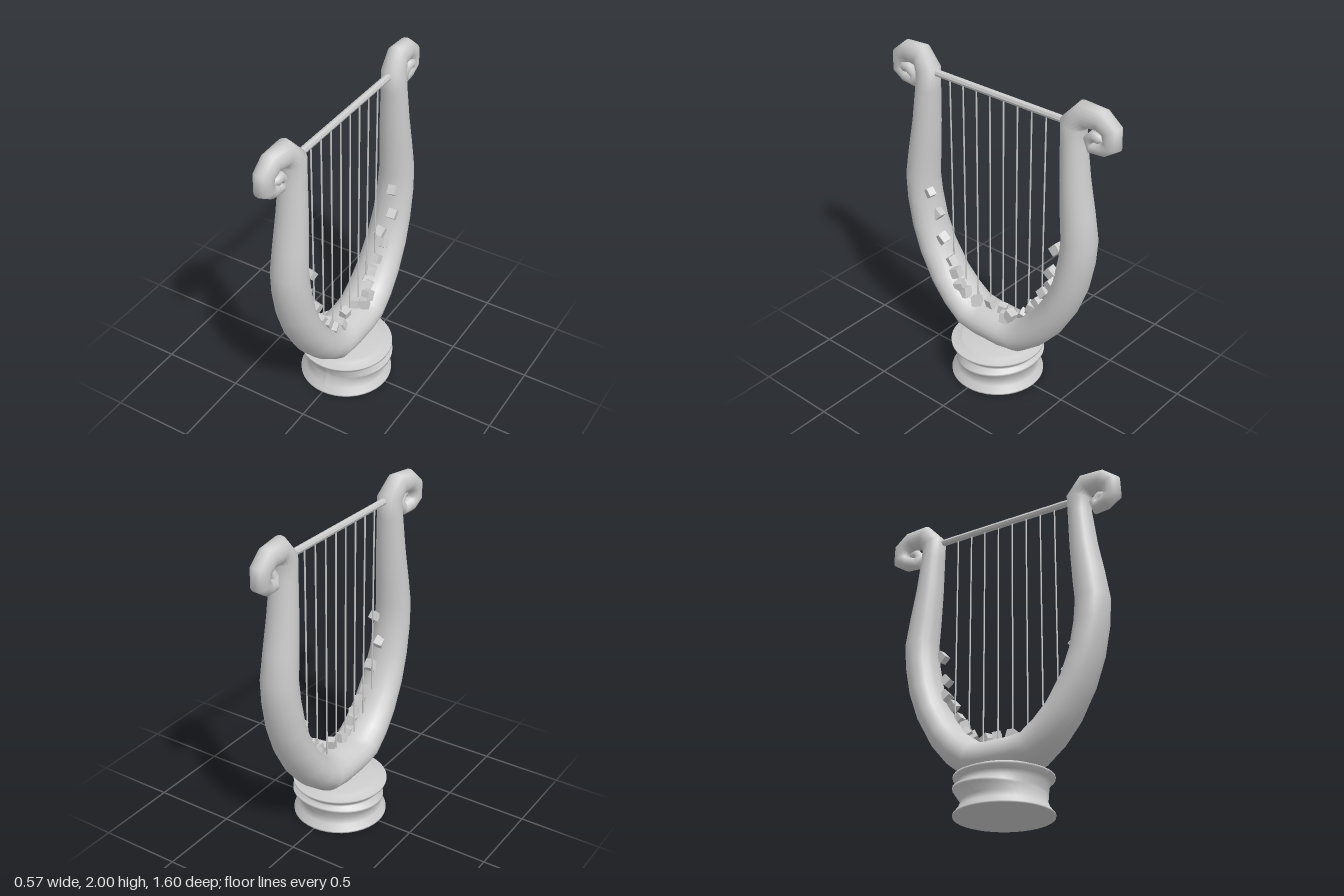
import * as THREE from 'three';

const grey = new THREE.MeshStandardMaterial({ color: 0xcccccc });
const flat = new THREE.MeshStandardMaterial({ color: 0xcccccc, flatShading: true });

function add(group, name, geometry, material = grey) {
  const mesh = new THREE.Mesh(geometry, material);
  mesh.name = name;
  group.add(mesh);
  return mesh;
}

// Sweep an oval section along stations [z, y, in-plane radius, x radius, x offset]
function sweep(stations, sides) {
  const pos = [], index = [];
  stations.forEach(([z, y, r, rx, x], i) => {
    const a = stations[Math.max(i - 1, 0)], b = stations[Math.min(i + 1, stations.length - 1)];
    const t = new THREE.Vector2(b[0] - a[0], b[1] - a[1]).normalize(); // (z, y)
    for (let s = 0; s < sides; s++) {
      const u = (s / sides) * Math.PI * 2, c = Math.cos(u) * r;
      pos.push(x + Math.sin(u) * rx, y + t.x * c, z - t.y * c);
      if (i === stations.length - 1) continue;
      const p = i * sides + s, q = i * sides + ((s + 1) % sides);
      index.push(p, p + sides, q, q, p + sides, q + sides);
    }
  });
  const g = new THREE.BufferGeometry();
  g.setAttribute('position', new THREE.Float32BufferAttribute(pos, 3));
  g.setIndex(index);
  g.computeVertexNormals();
  return g;
}

// One half of the frame, from the bottom up the arm and into the scroll
const half = [
  [0.09, 0.342, 0.106, 0.146, 0],
  [0.19, 0.358, 0.108, 0.145, 0],
  [0.29, 0.435, 0.104, 0.142, 0],
  [0.385, 0.54, 0.1, 0.136, 0],
  [0.48, 0.7, 0.097, 0.128, 0],
  [0.54, 0.86, 0.098, 0.12, 0],
  [0.574, 1.03, 0.1, 0.114, 0],
  [0.585, 1.17, 0.101, 0.108, 0],
  [0.565, 1.33, 0.095, 0.1, 0],
  [0.54, 1.53, 0.082, 0.09, 0],
  [0.522, 1.75, 0.071, 0.079, 0],
  [0.517, 1.86, 0.075, 0.074, 0],
  [0.575, 1.925, 0.075, 0.064, -0.012],
  [0.68, 1.92, 0.066, 0.058, -0.02],
  [0.74, 1.875, 0.062, 0.056, -0.022],
  [0.748, 1.8, 0.055, 0.052, -0.022],
  [0.7, 1.768, 0.046, 0.048, -0.02],
  [0.635, 1.758, 0.04, 0.042, -0.012],
  [0.62, 1.8, 0.032, 0.036, 0],
  [0.655, 1.835, 0.034, 0.034, 0.008],
  [0.695, 1.83, 0.03, 0.03, 0.012],
  [0.71, 1.815, 0.001, 0.001, 0.012],
];

export function createModel() {
  const model = new THREE.Group();

  // Frame: both arms and scrolls in one sweep
  const mirrored = half.map(([z, ...rest]) => [-z, ...rest]).reverse();
  add(model, 'frame', sweep([...mirrored, ...half], 20));

  // Pedestal: rimmed turned base, its middle rim tilted and pushed back
  const profile = [
    [0, 0], [0.283, 0], [0.283, 0.01], [0.255, 0.045], [0.24, 0.085],
    [0.282, 0.135], [0.282, 0.15],
    [0.25, 0.172], [0.262, 0.195], [0.284, 0.215], [0.284, 0.226],
    [0.222, 0.228], [0.218, 0.254], [0, 0.254],
  ].map(([r, y]) => new THREE.Vector2(r, y));
  const base = new THREE.LatheGeometry(profile, 40);
  const p = base.attributes.position;
  for (let i = 0; i < p.count; i++) {
    const y = p.getY(i), z = p.getZ(i);
    if (y > 0.12 && y < 0.16) {
      p.setY(i, y - z * 0.06);
      p.setZ(i, z * 0.92 - 0.022);
    }
  }
  base.computeVertexNormals();
  add(model, 'pedestal', base);

  // Crossbar
  const bar = add(model, 'crossbar', new THREE.CylinderGeometry(0.021, 0.021, 0.94, 8), flat);
  bar.rotation.x = Math.PI / 2;
  bar.position.y = 1.856;

  // Strings, reaching down into the curve of the frame
  const strings = new THREE.Group();
  strings.name = 'strings';
  model.add(strings);
  for (let i = 0; i < 8; i++) {
    const z = 0.351 - i * 0.098, bottom = 0.4 + 1.9 * z * z, top = 1.85;
    const s = add(strings, 'string', new THREE.CylinderGeometry(0.005, 0.005, top - bottom, 6));
    s.position.set(0, (top + bottom) / 2, z);
  }

  // Rough blocks scattered along the inside of the frame
  const blocks = new THREE.Group();
  blocks.name = 'blocks';
  model.add(blocks);
  let seed = 7;
  const rand = () => (seed = (seed * 16807) % 2147483647) / 2147483647;
  const spots = [
    [0.472, 1.1], [0.46, 0.94], [0.4, 0.8], [0.29, 0.6], [0.215, 0.495], [0.13, 0.46], [0.04, 0.475],
    [-0.06, 0.485], [-0.15, 0.495], [-0.22, 0.515], [-0.27, 0.59], [-0.32, 0.65],
    [-0.37, 0.745], [-0.44, 0.93], [-0.465, 1.085],
    [0.34, 0.66], [0.25, 0.53], [-0.25, 0.54], [-0.4, 0.8], [-0.11, 0.465],
  ];
  spots.forEach(([z, y], i) => {
    const size = 0.045 + rand() * 0.015;
    const b = add(blocks, 'block', new THREE.BoxGeometry(size, size * 1.1, size), flat);
    b.position.set(0.03 + (rand() - 0.5) * 0.08, y, z);
    b.rotation.set(z * 1.8 + (rand() - 0.5) * 0.3, (rand() - 0.5) * 0.9, (rand() - 0.5) * 0.5);
  });

  return model;
}
